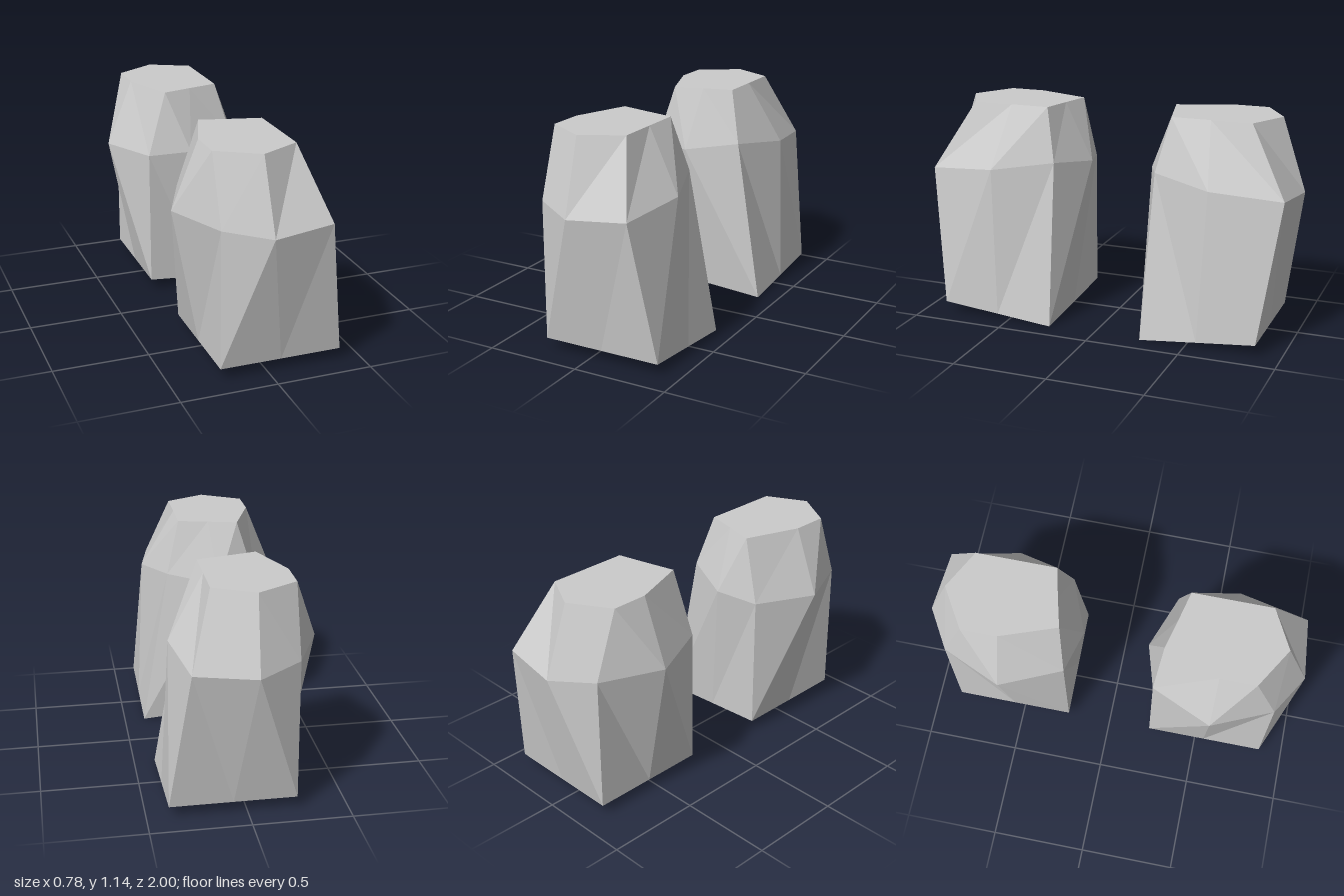
import * as THREE from 'three';

// Cross-sections of one block, eight points each, counterclockwise from above
const base = [
  [-0.25, 0.06, 0.55], [-0.25, 0.06, 0.87], [0.07, 0.06, 0.87], [0.39, 0.06, 0.87],
  [0.39, 0.03, 0.56], [0.39, 0, 0.255], [0.07, 0.03, 0.245], [-0.25, 0.06, 0.235],
];
const shoulder = [
  [-0.39, 0.79, 0.555], [-0.25, 0.785, 0.87], [-0.03, 0.76, 1], [0.285, 0.785, 0.967],
  [0.35, 0.82, 0.595], [0.24, 0.86, 0.28], [-0.03, 0.82, 0.172], [-0.25, 0.80, 0.235],
];
const crown = [
  [-0.25, 1.14, 0.555], [-0.25, 1.14, 0.745], [-0.04, 1.14, 0.872], [0.168, 1.14, 0.765],
  [0.168, 1.14, 0.55], [0.168, 1.14, 0.343], [0.01, 1.14, 0.305], [-0.145, 1.14, 0.265],
];

// Lofts the sections and caps both ends; side = -1 mirrors the block in z
function blockGeometry(side) {
  const positions = [];
  const tri = (a, b, c) => {
    for (const p of side > 0 ? [a, b, c] : [a, c, b]) positions.push(p[0], p[1], p[2] * side);
  };
  const middle = (ring) => [0, 1, 2].map((k) => ring.reduce((s, p) => s + p[k], 0) / ring.length);
  const rings = [base, shoulder, crown];
  const bottomCentre = middle(base), topCentre = middle(crown);
  for (let i = 0; i < 8; i++) {
    const j = (i + 1) % 8;
    for (let r = 0; r < 2; r++) {
      const low = rings[r], high = rings[r + 1];
      tri(low[i], low[j], high[j]);
      tri(low[i], high[j], high[i]);
    }
    tri(topCentre, crown[i], crown[j]);
    tri(bottomCentre, base[j], base[i]);
  }
  const geometry = new THREE.BufferGeometry();
  geometry.setAttribute('position', new THREE.Float32BufferAttribute(positions, 3));
  geometry.computeVertexNormals();
  return geometry;
}

export function createModel() {
  const model = new THREE.Group();
  model.name = 'blockPair';
  const material = new THREE.MeshStandardMaterial({ color: 0xcccccc, flatShading: true });
  // Two mirrored faceted blocks
  for (const [name, side] of [['frontBlock', 1], ['backBlock', -1]]) {
    const block = new THREE.Mesh(blockGeometry(side), material);
    block.name = name;
    model.add(block);
  }
  return model;
}
